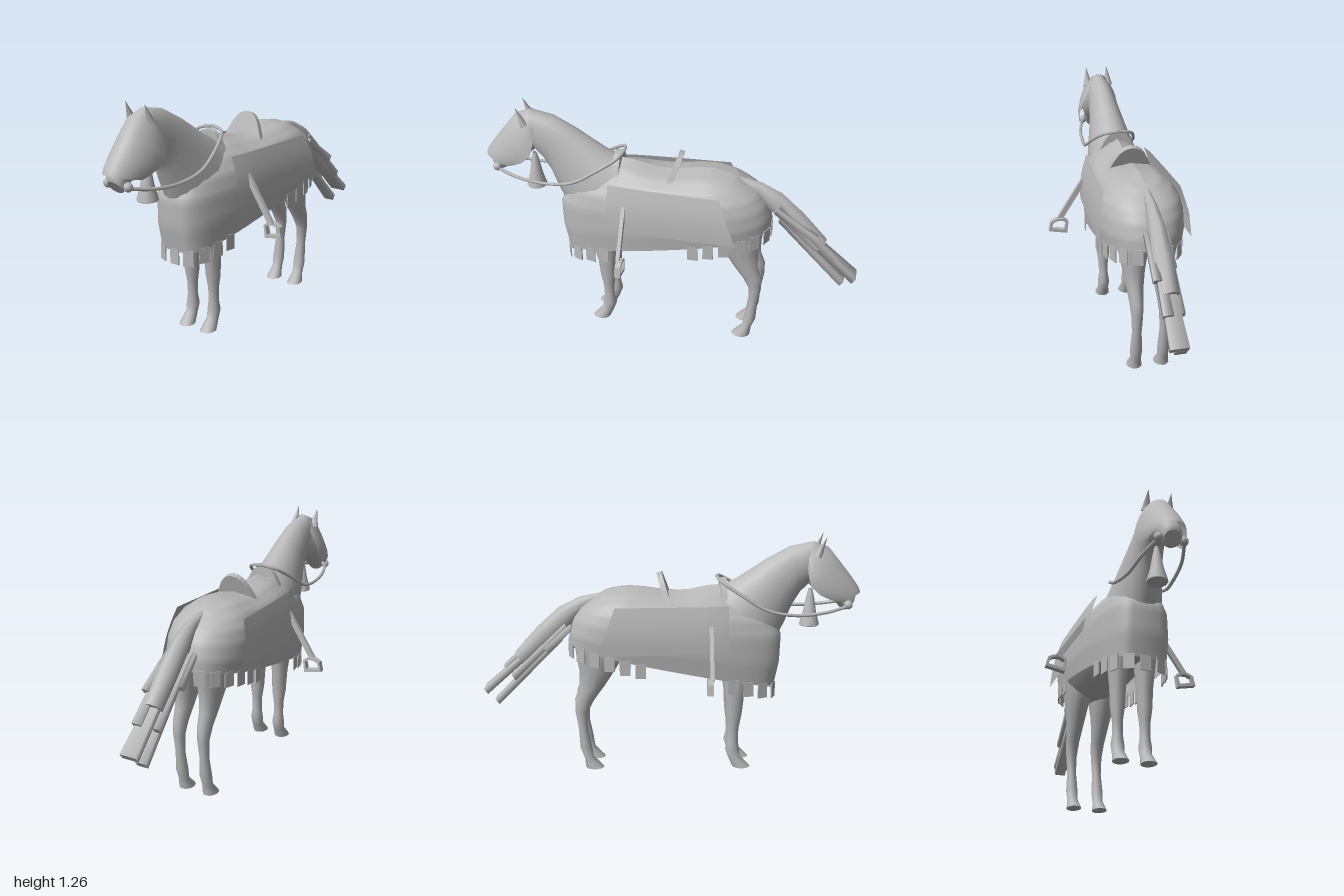
import * as THREE from 'three';

const grey = new THREE.MeshStandardMaterial({ color: 0xb8b8b8, side: THREE.DoubleSide });
grey.name = 'plain grey';
const lerp = THREE.MathUtils.lerp;

function add(parent, name, geometry) {
  const mesh = new THREE.Mesh(geometry, grey);
  mesh.name = name;
  parent.add(mesh);
  return mesh;
}

// Grid of points: rows x columns
const grid = (nRows, nCols, fn) => Array.from({ length: nRows + 1 }, (_, j) =>
  Array.from({ length: nCols + 1 }, (_, i) => fn(i / nCols, j / nRows)));

// Smooth surface from rows of points, optionally closed around each row
function skin(rows, closed) {
  const n = rows[0].length, pos = rows.flat(2), idx = [];
  for (let j = 0; j < rows.length - 1; j++) {
    for (let i = 0; i < (closed ? n : n - 1); i++) {
      const k = (i + 1) % n, a = j * n + i, b = j * n + k, c = a + n, d = b + n;
      idx.push(a, b, c, b, d, c);
    }
  }
  const g = new THREE.BufferGeometry();
  g.setAttribute('position', new THREE.Float32BufferAttribute(pos, 3));
  g.setIndex(idx);
  g.computeVertexNormals();
  return g;
}

// Capped loft; each section is [z, y of one edge, z, y of the opposite edge, half width]
function loft(sections, x = 0, n = 14, turn = 0) {
  const ring = ([za, ya, zb, yb, w], size) => Array.from({ length: n }, (_, i) => {
    const t = -(i / n) * Math.PI * 2 + turn, c = Math.cos(t) / 2 * size;
    return [x + w * Math.sin(t) * size, (ya + yb) / 2 + c * (ya - yb), (za + zb) / 2 + c * (za - zb)];
  });
  const first = sections[0], last = sections[sections.length - 1];
  return skin([ring(first, 0), ring(first, 1), ...sections.map(s => ring(s, 1)), ring(last, 1), ring(last, 0)], true);
}

// Cloth levels from hem to ridge: [y front, y back, z front, z back, half width]
const levels = [
  [0.47, 0.70, 0.555, -0.53, 0.205], [0.60, 0.76, 0.58, -0.525, 0.217],
  [0.74, 0.83, 0.585, -0.50, 0.214], [0.83, 0.885, 0.54, -0.46, 0.198],
  [0.90, 0.93, 0.45, -0.40, 0.162], [0.95, 0.965, 0.36, -0.35, 0.1],
  [0.985, 0.975, 0.3, -0.31, 0],
];
function clothPoint(angle, v) {
  const i = Math.min(Math.floor(v), levels.length - 2);
  const [yF, yB, zF, zB, w] = levels[i].map((a, k) => lerp(a, levels[i + 1][k], v - i));
  const c = Math.cos(angle), s = Math.sin(angle), mid = -0.2;
  const z = c > 0 ? mid + (zF - mid) * c : mid + (mid - zB) * c;
  const x = Math.sign(s) * Math.pow(Math.abs(s), c > 0 ? lerp(0.5, 0.65, v / 6) : 0.8) * w;
  // The seat dips and the rump rises along the back
  const dip = Math.max(0, v - 3.5) / 2.5 * 0.015 * Math.cos((z + 0.2) * 14);
  return [x, lerp(yB, yF, (z - zB) / (zF - zB)) + dip, z];
}

export function createModel() {
  const horse = new THREE.Group();
  horse.name = 'horse';

  // Body and neck
  add(horse, 'body', loft([
    [-0.5, 0.82, -0.48, 0.70, 0.07], [-0.42, 0.90, -0.40, 0.62, 0.14], [-0.2, 0.95, -0.2, 0.58, 0.18],
    [0, 0.94, 0, 0.56, 0.18], [0.2, 0.94, 0.2, 0.53, 0.17], [0.4, 0.88, 0.4, 0.52, 0.14], [0.53, 0.78, 0.53, 0.56, 0.07]], 0, 18));
  add(horse, 'neck', loft([
    [0.22, 0.97, 0.55, 0.68, 0.14], [0.35, 1.035, 0.605, 0.80, 0.115], [0.5, 1.135, 0.64, 0.89, 0.088],
    [0.62, 1.2, 0.68, 0.96, 0.075], [0.74, 1.225, 0.74, 1.02, 0.062]], 0, 18));

  // Head with a broad face guard over it
  add(horse, 'head', loft([
    [0.73, 1.21, 0.69, 1.07, 0.055], [0.77, 1.2, 0.715, 1.01, 0.075], [0.825, 1.155, 0.755, 0.975, 0.085],
    [0.885, 1.08, 0.81, 0.935, 0.078], [0.94, 1.01, 0.865, 0.905, 0.058],
    [0.975, 0.955, 0.895, 0.873, 0.05], [0.968, 0.925, 0.918, 0.862, 0.043]], 0, 18));
  const guard = [[0.74, 1.225, 0.71, 1.14, 0.062], [0.82, 1.195, 0.705, 1.075, 0.098], [0.885, 1.115, 0.72, 1.01, 0.114],
    [0.945, 1.04, 0.77, 0.965, 0.112], [0.985, 0.985, 0.825, 0.938, 0.1], [0.995, 0.96, 0.86, 0.925, 0.09]];
  add(horse, 'faceGuard', skin(guard.map(([zF, yF, zB, yB, w]) => Array.from({ length: 17 }, (_, i) => {
    const t = (0.5 - i / 16) * Math.PI, c = Math.cos(t);
    return [w * Math.sin(t), lerp(yB, yF, c), lerp(zB, zF, c)];
  })), false));
  const bell = [[0.01, 0.1], [0.022, 0.05], [0.034, -0.02], [0.053, -0.09], [0.05, -0.095], [0, -0.09]];
  add(horse, 'neckBell', new THREE.LatheGeometry(bell.map(p => new THREE.Vector2(...p)).reverse(), 14))
    .position.set(0, 0.875, 0.735);

  // Cloth cover
  const rows = grid(24, 55, (u, v) => clothPoint(u * 55 / 56 * Math.PI * 2, v * 6));
  add(horse, 'clothCover', skin(rows, true));

  // Tabs along the hem, leaving the girth free
  const hem = new THREE.CatmullRomCurve3(rows[0].map(p => new THREE.Vector3(...p)), true);
  const tabs = new THREE.Group();
  tabs.name = 'hemTabs';
  horse.add(tabs);
  const count = 32;
  for (let i = 0; i < count; i++) {
    const p = hem.getPointAt(i / count), t = hem.getTangentAt(i / count);
    if (p.z > -0.08 && p.z < 0.26) continue;
    const tab = add(tabs, 'hemTab', new THREE.BoxGeometry(0.054, 0.08, 0.006));
    tab.position.set(p.x, p.y - 0.028, p.z);
    tab.rotation.y = Math.atan2(-t.z, t.x);
  }

  // Saddle: raised front arch and tall back plate
  const arch = (w, h, d) => {
    const s = new THREE.Shape();
    s.moveTo(-w, -0.04);
    s.bezierCurveTo(-w * 0.75, 0.01, -w * 0.6, h, 0, h);
    s.bezierCurveTo(w * 0.6, h, w * 0.75, 0.01, w, -0.04);
    return new THREE.ExtrudeGeometry(s, { depth: d, bevelEnabled: false, curveSegments: 8 });
  };
  add(horse, 'saddleFront', arch(0.1, 0.065, 0.035)).position.set(0, 0.97, 0.26);
  const cantle = add(horse, 'saddleBack', arch(0.12, 0.105, 0.028));
  cantle.position.set(0, 0.96, -0.035);
  cantle.rotation.x = -0.32;

  // Tail with loose locks of different lengths
  add(horse, 'tail', loft([
    [-0.35, 0.96, -0.36, 0.91, 0.02], [-0.47, 0.935, -0.44, 0.86, 0.03], [-0.58, 0.88, -0.51, 0.785, 0.045],
    [-0.70, 0.77, -0.62, 0.685, 0.052], [-0.82, 0.635, -0.75, 0.565, 0.05]], 0, 8));
  const locks = [[0.005, -0.6, 0.77, -0.995, 0.425, 0.046], [-0.02, -0.58, 0.72, -0.935, 0.37, 0.03],
    [0.03, -0.58, 0.83, -0.89, 0.54, 0.025], [0.052, -0.56, 0.81, -0.78, 0.665, 0.02],
    [-0.045, -0.55, 0.79, -0.84, 0.51, 0.02], [-0.06, -0.52, 0.79, -0.66, 0.66, 0.013]];
  for (const [x, z0, y0, z1, y1, w] of locks) {
    add(horse, 'tailLock', loft([
      [z0, y0 + 0.02, z0 + 0.02, y0 - 0.02, w * 0.8],
      [z1, y1 + 0.02, z1 + 0.03, y1 - 0.02, w * 1.4]], x, 4, Math.PI / 4));
  }

  // Paired parts
  for (const side of [1, -1]) {
    add(horse, 'frontLeg', loft([
      [0.46, 0.66, 0.26, 0.66, 0.06], [0.43, 0.52, 0.275, 0.52, 0.05], [0.395, 0.40, 0.295, 0.40, 0.041],
      [0.385, 0.30, 0.30, 0.29, 0.037], [0.37, 0.22, 0.31, 0.22, 0.027], [0.368, 0.15, 0.31, 0.15, 0.026],
      [0.375, 0.10, 0.30, 0.10, 0.033], [0.38, 0.06, 0.318, 0.05, 0.03], [0.435, 0, 0.34, 0, 0.04]], side * 0.07, 12));
    add(horse, 'hindLeg', loft([
      [-0.22, 0.74, -0.5, 0.74, 0.085], [-0.24, 0.64, -0.49, 0.64, 0.072], [-0.285, 0.56, -0.475, 0.55, 0.057],
      [-0.35, 0.46, -0.478, 0.46, 0.043], [-0.40, 0.39, -0.503, 0.395, 0.036], [-0.437, 0.32, -0.503, 0.32, 0.03],
      [-0.438, 0.22, -0.488, 0.22, 0.025], [-0.42, 0.12, -0.482, 0.11, 0.032],
      [-0.412, 0.06, -0.46, 0.05, 0.029], [-0.355, 0, -0.455, 0, 0.04]], side * 0.072, 12));

    const ear = add(horse, 'ear', new THREE.ConeGeometry(0.028, 0.11, 6));
    ear.position.set(side * 0.059, 1.207, 0.778);
    ear.rotation.x = 0.4;
    ear.scale.z = 0.8;

    // Bridle
    add(horse, 'bitBoss', new THREE.SphereGeometry(0.023, 10, 8)).position.set(side * 0.062, 0.902, 0.925);
    const rein = [[0.065, 0.895, 0.925], [0.1, 0.87, 0.8], [0.115, 0.86, 0.65], [0.13, 0.89, 0.5],
      [0.115, 0.965, 0.37], [0.07, 1.03, 0.265], [0, 1.045, 0.245]];
    add(horse, 'rein', new THREE.TubeGeometry(new THREE.CatmullRomCurve3(
      rein.map(([x, y, z]) => new THREE.Vector3(side * x, y, z))), 32, 0.009, 6));

    // Side flap hanging just clear of the cloth
    add(horse, 'saddleFlap', skin(grid(6, 10, (u, v) => [
      side * (lerp(lerp(0.205, 0.16, v), lerp(0.232, 0.195, v), Math.sqrt(u)) + 0.012 * Math.sin(v * Math.PI)),
      lerp(0.68, 0.922, v), lerp(0.3, lerp(-0.37, -0.28, v), u)]), false));

    // Stirrup strap and iron
    const strap = add(horse, 'stirrupStrap', new THREE.BoxGeometry(0.028, 0.33, 0.02));
    strap.position.set(side * 0.25, 0.722, 0.21);
    strap.rotation.z = side * 0.57;
    const outline = pts => pts.map(([x, y]) => new THREE.Vector2(side * x, y));
    const iron = new THREE.Shape(outline([[0.302, 0.505], [0.4, 0.525], [0.388, 0.578], [0.36, 0.592], [0.318, 0.592], [0.293, 0.572]]));
    iron.holes.push(new THREE.Path(outline([[0.314, 0.525], [0.386, 0.538], [0.376, 0.57], [0.354, 0.58], [0.324, 0.58], [0.305, 0.566]])));
    add(horse, 'stirrupIron', new THREE.ExtrudeGeometry(iron, { depth: 0.03, bevelEnabled: false })).position.z = 0.185;
  }
  return horse;
}
